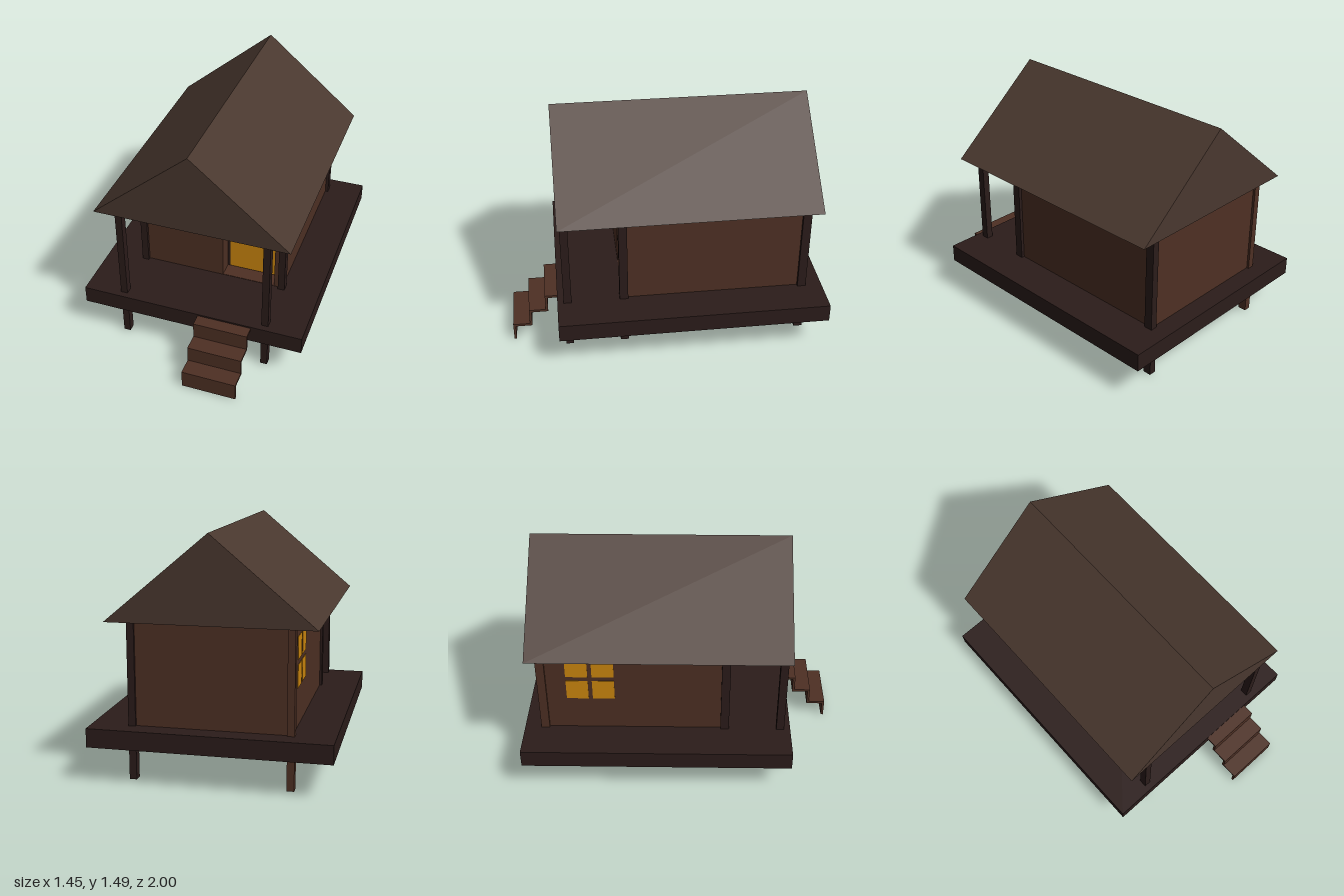
import * as THREE from 'three';

const mat = (color, side = THREE.FrontSide) =>
  new THREE.MeshStandardMaterial({ color, side, flatShading: true });

const WOOD = mat(0x4e3024);
const DARK = mat(0x2b1c1a);
const ROOF = mat(0x4a382f);
const GLOW = mat(0xcd870e);
const SOFFIT = mat(0x040404);

// Box given by its extents on each axis
function box(parent, name, material, [x0, x1], [y0, y1], [z0, z1]) {
  const mesh = new THREE.Mesh(new THREE.BoxGeometry(x1 - x0, y1 - y0, z1 - z0), material);
  mesh.position.set((x0 + x1) / 2, (y0 + y1) / 2, (z0 + z1) / 2);
  mesh.name = name;
  parent.add(mesh);
  return mesh;
}

// Extruded outline from a list of points, with optional rectangular hole
function extrude(points, depth, hole) {
  const shape = new THREE.Shape(points.map(([x, y]) => new THREE.Vector2(x, y)));
  if (hole) shape.holes.push(new THREE.Path(hole.map(([x, y]) => new THREE.Vector2(x, y))));
  return new THREE.ExtrudeGeometry(shape, { depth, bevelEnabled: false });
}

const rect = (x0, x1, y0, y1) => [[x0, y0], [x1, y0], [x1, y1], [x0, y1]];

export function createModel() {
  const house = new THREE.Group();
  house.name = 'stiltCabin';

  const floorY = 0.34, eaveY = 0.965, ridgeY = 1.49;
  box(house, 'deck', DARK, [-0.727, 0.727], [0.225, floorY], [-1, 0.705]);

  // Posts run from the ground through the deck up to the eaves
  const posts = new THREE.Group();
  posts.name = 'posts';
  house.add(posts);
  for (const [name, z, d] of [['porchPost', 0.64, 0.05], ['frontPost', 0.283, 0.054], ['backPost', -0.868, 0.054]]) {
    for (const x of [-0.468, 0.478]) {
      const m = name === 'backPost' && x < 0 ? WOOD : DARK;
      box(posts, name, m, [x - 0.022, x + 0.022], [0.01, eaveY], [z - d / 2, z + d / 2]);
    }
  }

  // Walls
  const walls = new THREE.Group();
  walls.name = 'walls';
  house.add(walls);
  const wallY = [floorY, eaveY];
  box(walls, 'backWall', WOOD, [-0.468, 0.478], wallY, [-0.88, -0.85]);
  box(walls, 'leftWall', WOOD, [0.455, 0.48], wallY, [-0.868, 0.283]);
  box(walls, 'rightWall', WOOD, [-0.475, -0.45], wallY, [-0.868, 0.283]);

  // Front wall with the doorway cut out
  const frontWall = new THREE.Mesh(
    extrude(rect(-0.468, 0.478, floorY, eaveY), 0.1, rect(0.075, 0.425, floorY + 0.003, 0.963)), WOOD);
  frontWall.position.z = 0.19;
  frontWall.name = 'frontWall';
  walls.add(frontWall);

  // Recessed door with a dark surround
  box(house, 'doorSurround', DARK, [0.07, 0.43], [floorY, eaveY], [0.165, 0.185]);
  box(house, 'door', GLOW, [0.093, 0.407], [0.347, 0.956], [0.17, 0.192]);

  // Four-pane window in the right wall
  const windowGroup = new THREE.Group();
  windowGroup.name = 'window';
  house.add(windowGroup);
  for (const z of [-0.647, -0.483]) {
    for (const y of [0.645, 0.815]) {
      box(windowGroup, 'windowPane', GLOW, [-0.478, -0.44], [y - 0.07, y + 0.07], [z - 0.069, z + 0.069]);
    }
  }

  // Gabled roof, closed below by a dark soffit
  const roof = new THREE.Mesh(extrude([[-0.625, eaveY], [0.625, eaveY], [0, ridgeY]], 1.615), ROOF);
  roof.position.z = -0.935;
  roof.name = 'roof';
  house.add(roof);
  const soffit = new THREE.Mesh(new THREE.PlaneGeometry(1.25, 1.615), SOFFIT);
  soffit.rotation.x = Math.PI / 2;
  soffit.position.set(0, eaveY - 0.002, -0.1275);
  soffit.name = 'soffit';
  house.add(soffit);

  // Folded-plank stairs: outer zigzag up, inner zigzag back down
  const t = 0.016, run = 0.108, rise = 0.106, steps = 3;
  const outer = [[1, 0]], inner = [[1 - t, 0]];
  for (let i = 0; i < steps; i++) {
    const z = 1 - i * run, y = 0.118 + i * rise;
    const next = i === steps - 1 ? 0.705 : z - run;
    outer.push([z, y], [next, y]);
    inner.push([z - t, y - t], [i === steps - 1 ? next : next - t, y - t]);
  }
  const stairs = new THREE.Mesh(extrude([...outer, ...inner.reverse()], 0.35), WOOD);
  stairs.rotation.y = -Math.PI / 2;
  stairs.position.x = 0.4;
  stairs.name = 'stairs';
  house.add(stairs);

  return house;
}
